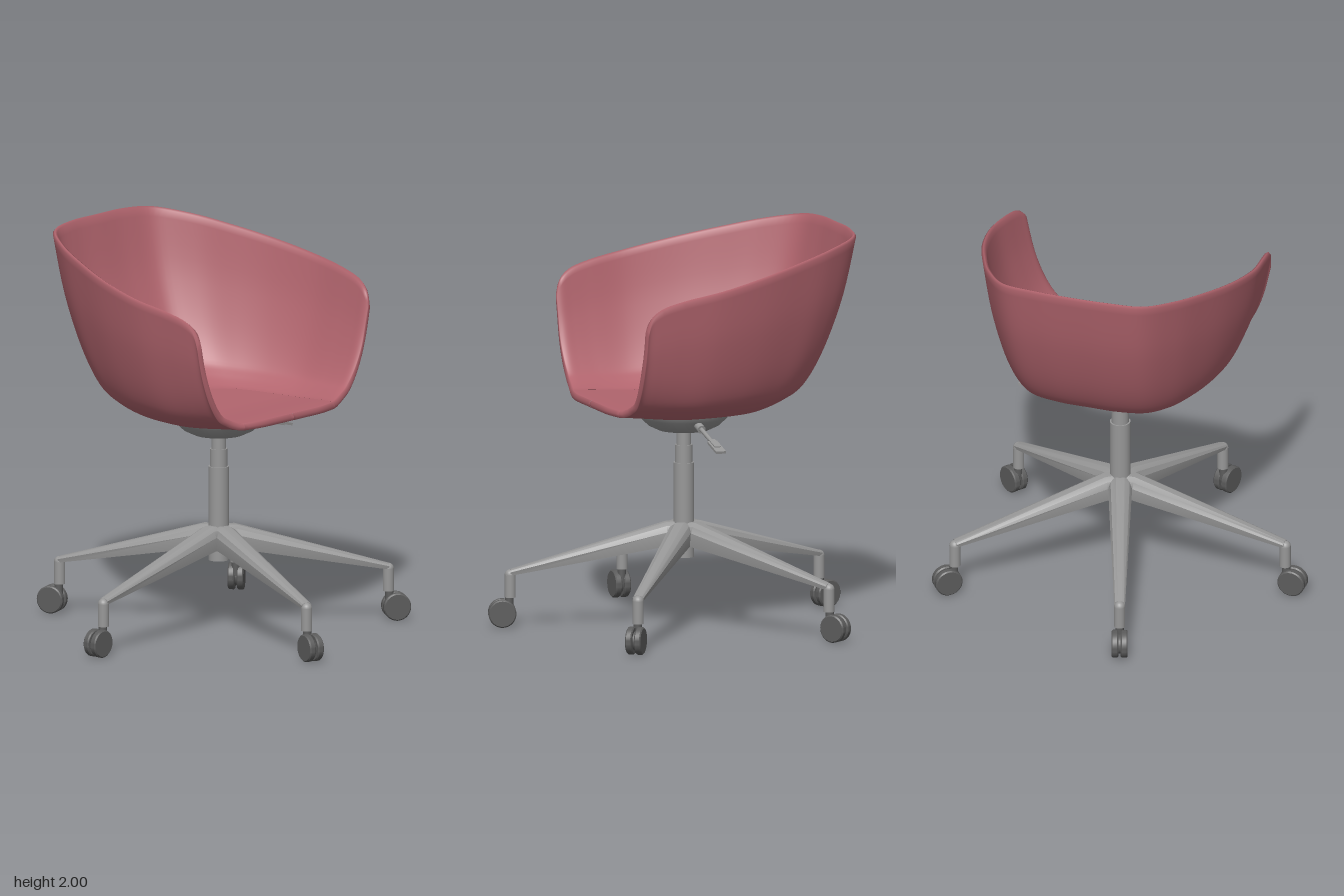
import * as THREE from 'three';
import { toCreasedNormals } from 'three/addons/utils/BufferGeometryUtils.js';

const shellRed = new THREE.MeshStandardMaterial({ name: 'shellRed', color: 0xb2656e });
const metalGrey = new THREE.MeshStandardMaterial({ name: 'metalGrey', color: 0x979797 });
const wheelGrey = new THREE.MeshStandardMaterial({ name: 'wheelGrey', color: 0x5c5c5c });

const step = THREE.MathUtils.smoothstep;

function addMesh(parent, name, geometry, material, x = 0, y = 0, z = 0) {
  const mesh = new THREE.Mesh(geometry, material);
  mesh.name = name;
  mesh.position.set(x, y, z);
  parent.add(mesh);
  return mesh;
}

function indexed(points, index) {
  const g = new THREE.BufferGeometry().setFromPoints(points);
  g.setIndex(index);
  g.computeVertexNormals();
  return g;
}

// Curve through one half's points (x, y, z) mirrored to the other half
function mirroredCurve(half) {
  const pts = half.map(p => new THREE.Vector3(...p));
  const other = pts.slice(0, -1).reverse().map(p => new THREE.Vector3(-p.x, p.y, p.z));
  return new THREE.CatmullRomCurve3([...pts, ...other]);
}

// Bucket seat: U-shaped contours grow from the middle of the front lip out to the rim
function shellGeometry() {
  const baseY = 1.11, frontZ = 0.44;
  const rim = mirroredCurve([
    [0.652, 1.61, 0.435], [0.66, 1.69, 0.41], [0.672, 1.73, 0.36], [0.687, 1.765, 0.25],
    [0.7, 1.805, 0.05], [0.662, 1.86, -0.2], [0.59, 1.91, -0.42], [0.5, 1.955, -0.62],
    [0.37, 1.988, -0.78], [0.2, 2, -0.822], [0, 2, -0.828]]);
  const floor = mirroredCurve([
    [0.34, 0, 0.44], [0.345, 0, 0.41], [0.355, 0, 0.36], [0.37, 0, 0.27],
    [0.38, 0, 0.12], [0.37, 0, -0.02], [0.35, 0, -0.12], [0.31, 0, -0.21],
    [0.24, 0, -0.27], [0.12, 0, -0.3], [0, 0, -0.3]]);
  // Wall profile: outward travel against height
  const profile = new THREE.SplineCurve([[0, 0], [0.12, 0.015], [0.31, 0.065], [0.5, 0.15],
    [0.69, 0.35], [0.875, 0.66], [1, 1]].map(p => new THREE.Vector2(...p)));

  const nt = 120, nf = 14, nw = 30, rows = nf + nw, cols = nt + 1;
  const outer = [];
  for (let r = 0; r <= rows; r++) {
    for (let c = 0; c <= nt; c++) {
      const b = floor.getPoint(c / nt), t = rim.getPoint(c / nt);
      const p = new THREE.Vector3();
      if (r < nf) {
        const f = Math.max(r / nf, 0.002);
        p.set(b.x * f, baseY, frontZ + (b.z - frontZ) * f);
      } else {
        const k = profile.getPoint((r - nf) / nw);
        p.set(b.x + (t.x - b.x) * k.x, baseY + (t.y - 0.01 - baseY) * k.y, b.z + (t.z - b.z) * k.x);
      }
      // The front lip bulges forward and curls up slightly
      p.z += 0.055 * (1 - step(Math.abs(p.x), 0.18, 0.52)) * step(p.z, 0.1, 0.44);
      p.y += 0.025 * step(p.z, 0.1, 0.5) * (1 - step(p.y, 1.11, 1.4));
      outer.push(p);
    }
  }
  const at = (r, c) => r * cols + c;
  const outerIndex = [];
  for (let r = 0; r < rows; r++) {
    for (let c = 0; c < nt; c++) {
      const a = at(r, c), b = at(r, c + 1), d = at(r + 1, c), e = at(r + 1, c + 1);
      outerIndex.push(a, b, d, b, e, d);
    }
  }
  // Inner skin is the outer skin offset along its normals
  const normals = indexed(outer, outerIndex).getAttribute('normal');
  const n = outer.length;
  const inner = outer.map((p, i) => {
    const thick = 0.036 - 0.012 * step(Math.floor(i / cols), nf + 10, rows);
    return p.clone().addScaledVector(new THREE.Vector3().fromBufferAttribute(normals, i), -thick);
  });
  const points = [...outer, ...inner];
  const index = [...outerIndex];
  for (let i = 0; i < outerIndex.length; i += 3) {
    index.push(outerIndex[i] + n, outerIndex[i + 2] + n, outerIndex[i + 1] + n);
  }
  // Rounded edge joining both skins: pairs of border vertex and its inward neighbour
  const border = [];
  for (let r = 0; r < rows; r++) border.push([at(r, 0), at(r, 1)]);
  for (let c = 0; c <= nt; c++) border.push([at(rows, c), at(rows - 1, c)]);
  for (let r = rows - 1; r >= 0; r--) border.push([at(r, nt), at(r, nt - 1)]);
  const mid = points.length;
  for (const [i, j] of border) {
    const out = outer[i].clone().sub(outer[j]).normalize();
    points.push(outer[i].clone().add(inner[i]).multiplyScalar(0.5).addScaledVector(out, 0.01));
  }
  for (let i = 0; i < border.length - 1; i++) {
    const a = border[i][0], b = border[i + 1][0], m = mid + i;
    index.push(a, b, m, b, m + 1, m, m, m + 1, a + n, m + 1, b + n, a + n);
  }
  return indexed(points, index);
}

// Tapered leg along +x, lofted from cross-sections with a softened top
function legGeometry() {
  const stations = [[0, 0.058, 0.41, 0.53], [0.085, 0.06, 0.41, 0.53], [0.87, 0.028, 0.262, 0.292]];
  const section = [[-0.85, 0], [-1, 0.6], [-0.8, 0.86], [-0.35, 1], [0.35, 1], [0.8, 0.86], [1, 0.6], [0.85, 0]];
  const m = section.length, points = [], index = [];
  for (const [x, w, y0, y1] of stations) {
    for (const [a, b] of section) points.push(new THREE.Vector3(x, y0 + (y1 - y0) * b, a * w));
  }
  for (let s = 0; s < stations.length - 1; s++) {
    for (let i = 0; i < m; i++) {
      const a = s * m + i, b = s * m + (i + 1) % m;
      index.push(a, b, a + m, b, b + m, a + m);
    }
  }
  const end = (stations.length - 1) * m;
  for (let i = 1; i < m - 1; i++) index.push(end, end + i, end + i + 1);
  // Keep the faces pointing outwards
  const g = indexed(points, index);
  const topNormal = g.getAttribute('normal').getY(m + 3);
  if (topNormal < 0) {
    for (let i = 0; i < index.length - 3 * (m - 2); i += 3) [index[i + 1], index[i + 2]] = [index[i + 2], index[i + 1]];
    g.setIndex(index);
  }
  return toCreasedNormals(g, 0.5);
}

function cylinder(r, y0, y1, r2 = r) {
  return new THREE.CylinderGeometry(r2, r, y1 - y0, 32).translate(0, (y0 + y1) / 2, 0);
}

function lathe(profile) {
  return toCreasedNormals(new THREE.LatheGeometry(profile.map(p => new THREE.Vector2(...p)), 48), 0.6);
}

export function createModel() {
  const model = new THREE.Group();
  model.name = 'swivelChair';
  const chair = new THREE.Group();
  chair.name = 'chair';
  chair.position.x = 0.08;
  model.add(chair);

  addMesh(chair, 'seatShell', shellGeometry(), shellRed);

  // Mechanism bowl and gas lift
  addMesh(chair, 'mechanismBowl', lathe([[0, 0.99], [0.08, 0.991], [0.13, 0.998], [0.18, 1.022],
    [0.22, 1.06], [0.243, 1.1], [0.246, 1.115], [0, 1.115]]), metalGrey);
  addMesh(chair, 'columnSleeve', cylinder(0.052, 0.35, 0.83), metalGrey);
  addMesh(chair, 'columnMiddle', cylinder(0.044, 0.82, 0.92), metalGrey);
  addMesh(chair, 'columnTop', cylinder(0.037, 0.91, 1.0), metalGrey);

  // Height lever
  const lever = new THREE.Group();
  lever.name = 'heightLever';
  lever.position.set(0.2, 1.048, 0);
  lever.rotation.z = -0.26;
  chair.add(lever);
  const rod = (r, x0, x1) => cylinder(r, x0, x1).rotateZ(-Math.PI / 2);
  addMesh(lever, 'leverSocket', rod(0.021, -0.02, 0.055), metalGrey);
  addMesh(lever, 'leverRod', rod(0.011, 0, 0.25), metalGrey);
  addMesh(lever, 'leverNeck', new THREE.BoxGeometry(0.09, 0.024, 0.032), metalGrey, 0.245, 0, 0);
  addMesh(lever, 'leverPaddle', new THREE.BoxGeometry(0.13, 0.013, 0.052), metalGrey, 0.275, 0, 0);

  // Five legs with twin-wheel casters
  const legGeo = legGeometry();
  const wheelGeo = lathe([[0, -0.017], [0.064, -0.017], [0.07, -0.011], [0.07, 0.011],
    [0.064, 0.017], [0, 0.017]]).rotateX(Math.PI / 2);
  for (let i = 0; i < 5; i++) {
    const arm = new THREE.Group();
    arm.name = 'baseArm';
    arm.rotation.y = Math.PI + i * Math.PI * 2 / 5;
    chair.add(arm);
    addMesh(arm, 'leg', legGeo, metalGrey);
    addMesh(arm, 'legElbow', new THREE.SphereGeometry(0.028, 20, 12), metalGrey, 0.87, 0.264, 0);
    addMesh(arm, 'casterPin', cylinder(0.028, 0.15, 0.265), metalGrey, 0.87);
    addMesh(arm, 'casterStem', cylinder(0.021, 0.08, 0.16), wheelGrey, 0.875);
    addMesh(arm, 'casterHub', new THREE.CylinderGeometry(0.048, 0.048, 0.02, 24).rotateX(Math.PI / 2), wheelGrey, 0.91, 0.07, 0);
    for (const side of [-1, 1]) addMesh(arm, 'casterWheel', wheelGeo, wheelGrey, 0.91, 0.07, side * 0.023);
  }
  return model;
}
